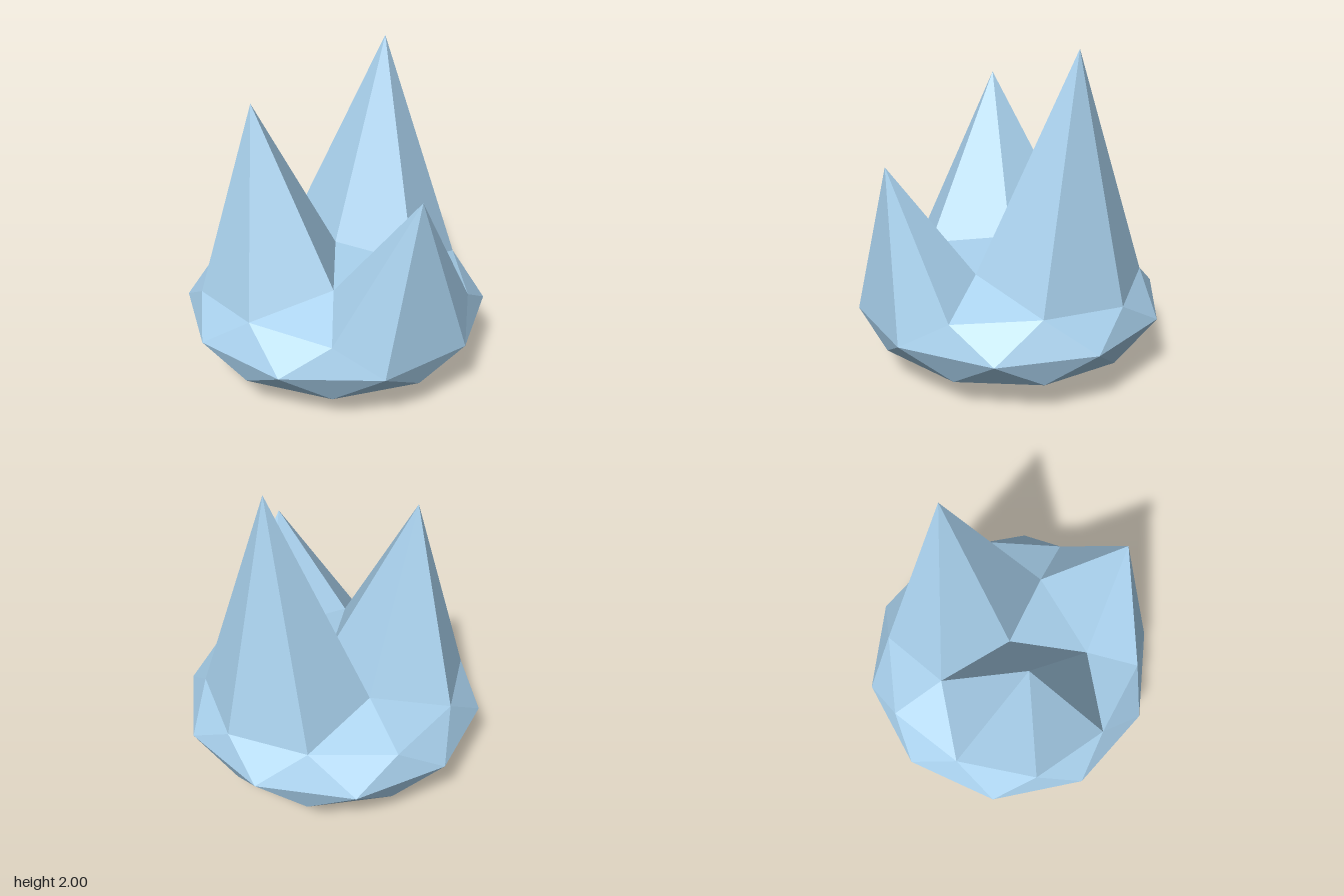
import * as THREE from 'three';

const RADIUS = 0.96; // horizontal radius of the squashed ball
const HALF_HEIGHT = 0.39; // vertical radius, also the height of its equator

// Spikes: ball vertices pulled straight up, as [x, z, tip height]
const SPIKES = [
  [0.505, 0, 2],
  [-0.41, -0.297, 1.735],
  [-0.252, 0.777, 1.355],
];

export function createModel() {
  const group = new THREE.Group();
  group.name = 'iceCrystalCluster';

  // Once-subdivided icosahedron, turned so that a vertex points straight up
  const geometry = new THREE.IcosahedronGeometry(1, 1);
  geometry.rotateZ(Math.atan2(1, (1 + Math.sqrt(5)) / 2));
  geometry.rotateY(Math.PI);
  geometry.scale(RADIUS, HALF_HEIGHT, RADIUS);
  geometry.translate(0, HALF_HEIGHT, 0);

  // Raise the chosen vertices of the upper half into sharp peaks
  const pos = geometry.attributes.position;
  for (let i = 0; i < pos.count; i++) {
    if (pos.getY(i) < HALF_HEIGHT + 0.05) continue;
    for (const [x, z, tip] of SPIKES) {
      if (Math.hypot(pos.getX(i) - x, pos.getZ(i) - z) < 0.05) pos.setY(i, tip);
    }
  }
  geometry.computeVertexNormals();

  const ice = new THREE.MeshStandardMaterial({ color: 0xa8d0ec, flatShading: true });
  const crystal = new THREE.Mesh(geometry, ice);
  crystal.name = 'spikedIceCrystal';
  group.add(crystal);
  return group;
}
